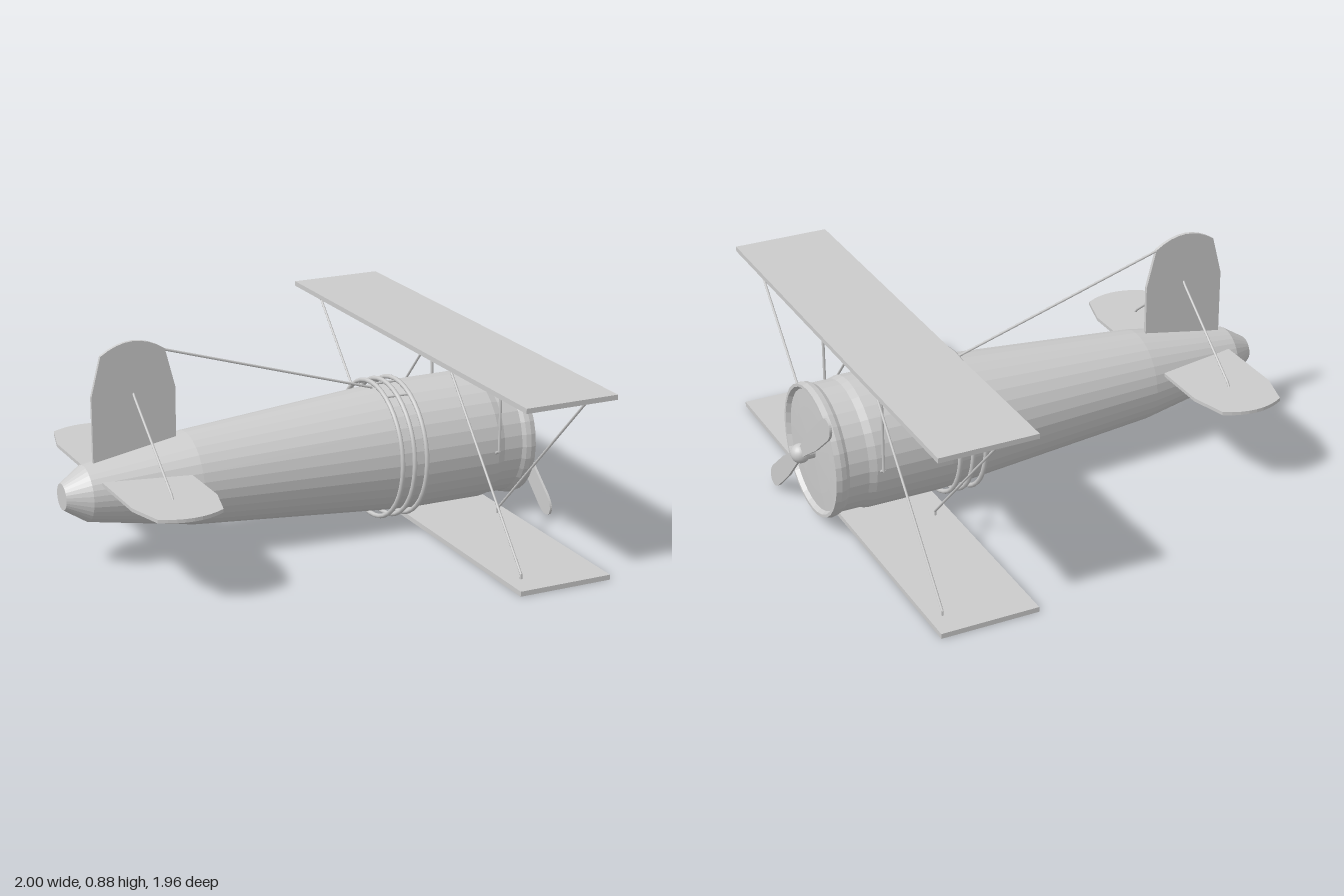
import * as THREE from 'three';

const AXIS = 0.3; // height of the fuselage centre line
const flat = new THREE.MeshStandardMaterial({ color: 0xcccccc, flatShading: true });
const smooth = new THREE.MeshStandardMaterial({ color: 0xcccccc });
const V = (x, y, z) => new THREE.Vector3(x, y, z);

export function createModel() {
  const model = new THREE.Group();
  model.name = 'biplane';

  const add = (name, geometry, material = flat, x = 0, y = 0, z = 0) => {
    const mesh = new THREE.Mesh(geometry, material);
    mesh.name = name;
    mesh.position.set(x, y, z);
    model.add(mesh);
    return mesh;
  };

  // Round rods following a chain of points
  const rod = (name, radius, ...points) => {
    for (let i = 1; i < points.length; i++) {
      const a = points[i - 1], d = points[i].clone().sub(a);
      const mesh = add(name, new THREE.CylinderGeometry(radius, radius, d.length() + radius, 8), smooth);
      mesh.position.copy(a).addScaledVector(d, 0.5);
      mesh.quaternion.setFromUnitVectors(V(0, 1, 0), d.normalize());
    }
  };

  // Flat plate extruded evenly about its own plane
  const plate = (shape, depth) =>
    new THREE.ExtrudeGeometry(shape, { depth, bevelEnabled: false, curveSegments: 8 }).translate(0, 0, -depth / 2);

  // Fuselage: tapering tail, barrel, cowl lip and recessed nose disc
  const profile = [
    [0, -1], [0.052, -1], [0.11, -0.91], [0.185, -0.49], [0.251, 0.31], [0.26, 0.44], [0.261, 0.755],
    [0.253, 0.785], [0.253, 0.865], [0.262, 0.88], [0.266, 0.9], [0.262, 0.922], [0.25, 0.922],
    [0.24, 0.905], [0.17, 0.908], [0, 0.912],
  ].map(([r, x]) => new THREE.Vector2(r, x));
  add('fuselage', new THREE.LatheGeometry(profile, 32), flat, 0, AXIS, 0).rotation.z = -Math.PI / 2;

  // Hoops around the cockpit, joined by short stringers
  for (const x of [0.312, 0.365, 0.419]) {
    add('hoop', new THREE.TorusGeometry(0.276, 0.0095, 8, 40), smooth, x, AXIS, 0).rotation.y = Math.PI / 2;
  }
  for (const z of [-0.11, 0, 0.11]) {
    const y = AXIS + Math.sqrt(0.268 ** 2 - z * z);
    rod('stringer', 0.005, V(0.312, y, z), V(0.419, y, z));
  }

  // Upper and lower wings
  add('upperWing', new THREE.BoxGeometry(0.39, 0.02, 1.955), flat, 0.635, 0.727, 0);
  add('lowerWing', new THREE.BoxGeometry(0.39, 0.02, 1.955), flat, 0.635, 0.012, 0);

  // Cabane struts and crossed wing braces, swapped fore and aft between sides
  for (const s of [1, -1]) {
    rod('cabaneStrut', 0.006, V(0.74, 0.72, s * 0.283), V(0.74, 0.31, s * 0.283), V(0.74, 0.29, s * 0.25));
    const xOut = s > 0 ? 0.505 : 0.775;
    const xIn = s > 0 ? 0.775 : 0.505;
    rod('wingBrace', 0.005, V(xOut, 0.015, s * 0.868), V(xOut, 0.04, s * 0.868),
      V(xOut, 0.695, s * 0.283), V(xOut, 0.72, s * 0.283));
    rod('wingBrace', 0.005, V(xIn, 0.72, s * 0.868), V(xIn, 0.695, s * 0.868),
      V(xIn, 0.04, s * 0.22), V(xIn, 0.015, s * 0.22));
  }

  // Tail surfaces share one outline: straight, tapered, then a rounded tip
  const tailShape = (straight, taper, tip) => {
    const s = new THREE.Shape();
    s.moveTo(-0.17, 0);
    s.lineTo(0.17, 0);
    s.lineTo(0.17, straight);
    s.lineTo(0.13, taper);
    s.quadraticCurveTo(0, 2 * tip - taper, -0.13, taper);
    s.lineTo(-0.17, straight);
    s.closePath();
    return plate(s, 0.014);
  };
  add('fin', tailShape(0.33, 0.485, 0.53), flat, -0.702, 0.348, 0);
  for (const s of [1, -1]) {
    add('tailplane', tailShape(0.4, 0.548, 0.588), flat, -0.702, 0.362, 0).rotation.x = s * Math.PI / 2;
    rod('tailBrace', 0.005, V(-0.702, 0.675, 0), V(-0.702, 0.655, s * 0.02),
      V(-0.702, 0.385, s * 0.365), V(-0.702, 0.362, s * 0.385));
  }
  rod('finWire', 0.005, V(-0.6, 0.836, 0), V(0.312, 0.555, 0));

  // Propeller: two paddle blades on a shaft with a round cap
  const blade = new THREE.Shape();
  blade.moveTo(-0.018, 0);
  blade.lineTo(0.018, 0);
  blade.lineTo(0.04, 0.2);
  blade.lineTo(0.042, 0.36);
  blade.quadraticCurveTo(0.038, 0.42, 0, 0.425);
  blade.quadraticCurveTo(-0.038, 0.42, -0.042, 0.36);
  blade.lineTo(-0.04, 0.2);
  blade.closePath();
  const bladeGeometry = plate(blade, 0.01).rotateY(Math.PI / 2);
  for (const turn of [0, Math.PI]) {
    add('propellerBlade', bladeGeometry, flat, 0.962, AXIS, 0).rotation.x = -0.86 + turn;
  }
  add('propellerShaft', new THREE.CylinderGeometry(0.03, 0.03, 0.06, 20), flat, 0.935, AXIS, 0).rotation.z = Math.PI / 2;
  add('propellerCap', new THREE.SphereGeometry(0.039, 20, 14), smooth, 0.961, AXIS, 0);

  return model;
}
